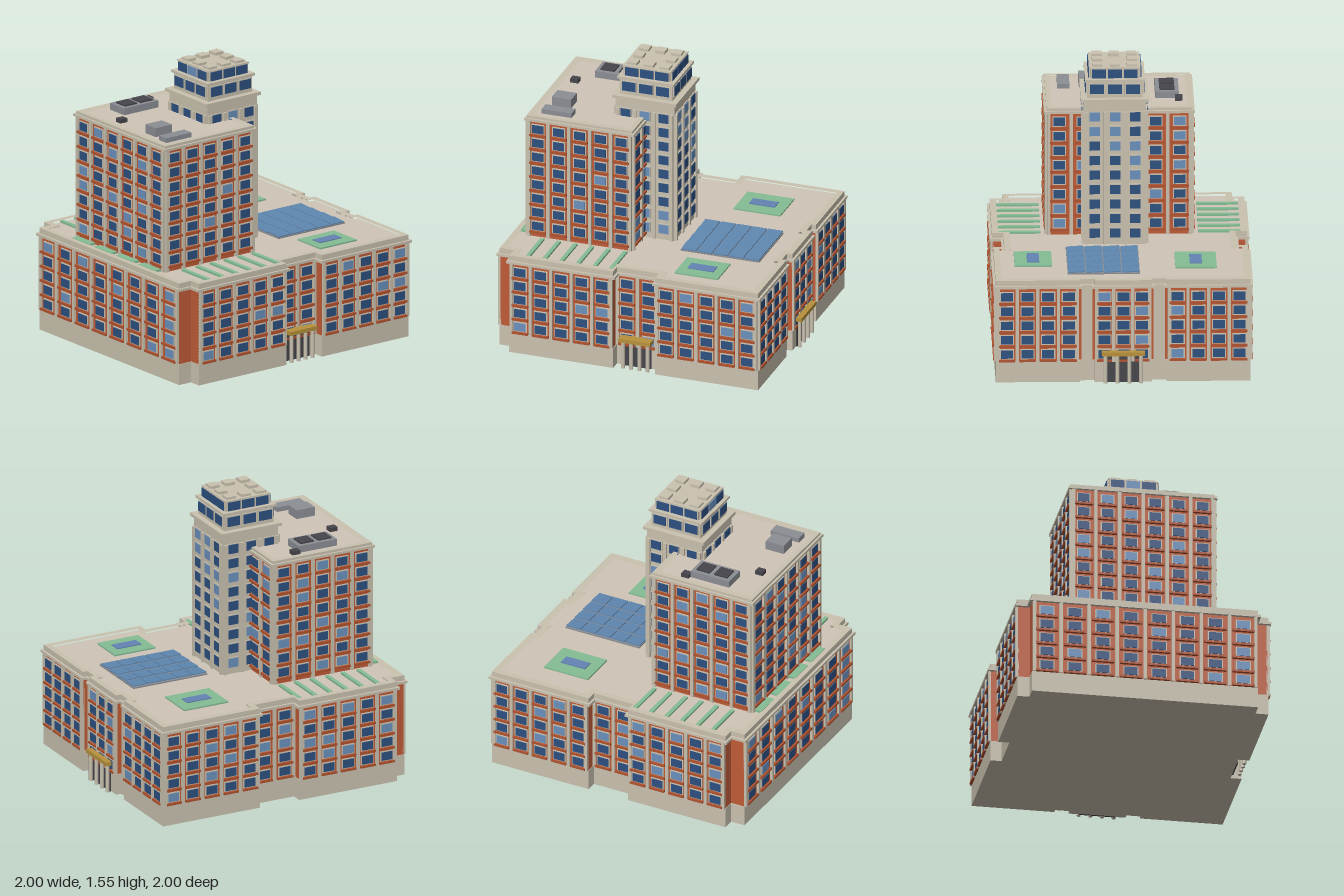
import * as THREE from 'three';
import { mergeGeometries } from 'three/addons/utils/BufferGeometryUtils.js';

const COLORS = {
  stone: 0xcac2b0, roof: 0xcfc5b6, brick: 0xbf5b37, sill: 0xb0532f, glass: 0x2c5080, paleGlass: 0x6a90bc,
  gold: 0xb8923c, green: 0x84bd95, solar: 0x5f87b0, skylight: 0x6484b4, grey: 0x8b8e94, dark: 0x46454b,
};

export function createModel() {
  const model = new THREE.Group();
  const plan = new THREE.Group(); // the plan is square to its own axes, turned 45 degrees
  plan.name = 'building';
  plan.rotation.y = Math.PI / 4;
  model.add(plan);

  // Boxes and prisms are gathered by part name, then merged into one mesh each
  const parts = {};
  const put = (name, color, geo) => {
    (parts[name] ??= { color, geos: [] }).geos.push(geo.index ? geo.toNonIndexed() : geo);
  };
  const block = (name, color, w, h, d, x, y, z, matrix) => {
    const g = new THREE.BoxGeometry(w, h, d).translate(x, y, z);
    if (matrix) g.applyMatrix4(matrix);
    put(name, color, g);
  };

  // Plan outlines are [x, z] corners; offset moves every wall outward
  const offset = (pts, d) => pts.map((p, i) => {
    const a = pts[(i + pts.length - 1) % pts.length], b = pts[(i + 1) % pts.length];
    const n = (s, e) => [Math.sign(e[1] - s[1]), -Math.sign(e[0] - s[0])];
    const n1 = n(a, p), n2 = n(p, b);
    return [p[0] + d * (n1[0] + n2[0]), p[1] + d * (n1[1] + n2[1])];
  });
  const prism = (name, color, pts, y0, y1, hole) => {
    const v = (list) => list.map(([x, z]) => new THREE.Vector2(x, -z));
    const shape = new THREE.Shape(v(pts));
    if (hole) shape.holes.push(new THREE.Path(v(hole)));
    const g = new THREE.ExtrudeGeometry(shape, { depth: y1 - y0, bevelEnabled: false });
    put(name, color, g.rotateX(-Math.PI / 2).translate(0, y0, 0));
  };
  const rect = (x0, x1, z0, z1) => [[x1, z0], [x1, z1], [x0, z1], [x0, z0]];
  // Ledge, parapet ring and sunken roof deck
  const crown = (name, pts, y0, y1, out, rim) => {
    prism(name + 'Cornice', COLORS.stone, offset(pts, out), y0, y0 + 0.014);
    prism(name + 'Parapet', COLORS.stone, offset(pts, 0.004), y0 + 0.014, y1, offset(pts, -rim));
    prism(name + 'Roof', COLORS.roof, offset(pts, -rim + 0.002), y0, y1 - 0.01);
  };

  // A wall of windows facing angle ry, with sills and piers
  let seed = 7;
  const rand = () => (seed = (seed * 16807) % 2147483647) / 2147483647;
  const facade = (name, x, z, ry, width, cols, rows, o) => {
    const m = new THREE.Matrix4().makeRotationY(ry).setPosition(x, 0, z);
    const step = width / cols;
    for (let c = 0; c < cols; c++) {
      const wx = (c + 0.5) * step - width / 2;
      if (o.skip && o.skip(wx)) continue;
      for (const y of rows) {
        const pale = rand() < 0.2;
        block(name + 'WindowFrames', COLORS.stone, o.w + 0.012, o.h + 0.01, 0.008, wx, y, 0.002, m);
        block(name + (pale ? 'PaleWindows' : 'Windows'), pale ? COLORS.paleGlass : COLORS.glass,
          o.w, o.h, 0.012, wx, y, 0.004, m);
        if (o.sills) block(name + 'Sills', COLORS.sill, step * 0.78, 0.012, 0.026, wx, y - o.h / 2 - 0.012, 0.004, m);
      }
    }
    if (!o.piers) return;
    for (let c = 0; c <= cols; c++) {
      const px = Math.max(-width / 2 + 0.009, Math.min(width / 2 - 0.009, c * step - width / 2));
      block(name + 'Piers', COLORS.stone, 0.018, o.piers[1] - o.piers[0], 0.018, px, (o.piers[0] + o.piers[1]) / 2, 0.004, m);
    }
  };
  const ROWS = (y, n, s) => Array.from({ length: n }, (_, i) => y + i * s);
  const [SOUTH, EAST, NORTH, WEST] = [0, Math.PI / 2, Math.PI, -Math.PI / 2];

  // Podium
  const podium = [
    [0.705, -0.675], [0.705, -0.235], [0.68, -0.235], [0.68, -0.15], [0.71, -0.15], [0.71, 0.15], [0.68, 0.15],
    [0.68, 0.235], [0.705, 0.235], [0.705, 0.675], [0.13, 0.675], [0.13, 0.615], [-0.115, 0.615], [-0.115, 0.675],
    [-0.695, 0.675], [-0.695, 0.605], [-0.775, 0.605], [-0.775, -0.61], [-0.695, -0.61], [-0.695, -0.675],
    [-0.115, -0.675], [-0.115, -0.615], [0.13, -0.615], [0.13, -0.675],
  ];
  prism('podiumBase', COLORS.stone, offset(podium, 0.004), 0, 0.115);
  prism('podiumWalls', COLORS.brick, podium, 0.115, 0.53);
  crown('podium', podium, 0.525, 0.568, 0.017, 0.03);
  const podiumRows = ROWS(0.157, 5, 0.08);
  const brickStyle = { w: 0.064, h: 0.046, sills: true, piers: [0.115, 0.525] };
  for (const [s, ry] of [[1, SOUTH], [-1, NORTH]]) {
    facade('podium', -0.405, s * 0.675, ry, 0.58, 5, podiumRows, brickStyle);
    facade('podium', 0.4175, s * 0.675, ry, 0.575, 5, podiumRows, brickStyle);
    facade('podium', 0.0075, s * 0.615, ry, 0.245, 2, podiumRows, brickStyle);
    facade('podium', 0.705, s * 0.455, EAST, 0.44, 4, podiumRows, brickStyle);
    block('podiumSlotPiers', COLORS.stone, 0.012, 0.42, 0.06, 0.68, 0.32, s * 0.192);
  }
  facade('podium', 0.71, 0, EAST, 0.3, 3, podiumRows, brickStyle);
  facade('podium', -0.775, -0.0025, WEST, 1.215, 8, podiumRows, { ...brickStyle, w: 0.07 });

  // Entrances: gold canopy on four columns, dark doorway behind
  const entrance = (x, z, ry, width, depth) => {
    const m = new THREE.Matrix4().makeRotationY(ry).setPosition(x, 0, z);
    block('entranceCanopy', COLORS.gold, width, 0.022, depth, 0, 0.166, depth / 2, m);
    block('entranceDoors', COLORS.dark, width * 0.85, 0.15, 0.012, 0, 0.075, 0.002, m);
    for (let i = 0; i < 4; i++) {
      const cx = (i / 3 - 0.5) * (width - 0.04);
      put('entranceColumns', COLORS.stone,
        new THREE.CylinderGeometry(0.011, 0.011, 0.155, 10).translate(cx, 0.0775, depth - 0.018).applyMatrix4(m));
    }
  };
  entrance(0.0075, 0.618, SOUTH, 0.18, 0.06);
  entrance(0.713, 0, EAST, 0.23, 0.04);

  // Brick tower
  const tower = rect(-0.7, -0.11, -0.385, 0.385);
  prism('towerWalls', COLORS.brick, tower, 0.55, 1.24);
  crown('tower', tower, 1.237, 1.265, 0.016, 0.025);
  const towerRows = ROWS(0.622, 8, 0.0813);
  const towerStyle = { w: 0.062, h: 0.046, sills: true, piers: [0.56, 1.237] };
  facade('tower', -0.7, 0, WEST, 0.77, 6, towerRows, towerStyle);
  facade('tower', -0.405, 0.385, SOUTH, 0.59, 5, towerRows, towerStyle);
  facade('tower', -0.405, -0.385, NORTH, 0.59, 5, towerRows, towerStyle);
  facade('tower', -0.11, 0, EAST, 0.77, 6, towerRows, { ...towerStyle, skip: (x) => Math.abs(x) < 0.12 });

  // Stone shaft with two stepped storeys
  const [SX, SZ] = [-0.105, 0.028];
  const square = (r) => rect(SX - r, SX + r, SZ - r, SZ + r);
  const ring = (r, cols, rows, o) => [SOUTH, EAST, NORTH, WEST].forEach((ry) =>
    facade('shaft', SX + r * Math.sin(ry), SZ + r * Math.cos(ry), ry, 2 * r - 0.01, cols, rows, o));
  prism('shaftWalls', COLORS.stone, square(0.166), 0.55, 1.36);
  prism('shaftCornice', COLORS.stone, square(0.182), 1.355, 1.372);
  ring(0.166, 3, ROWS(0.622, 9, 0.0813), { w: 0.056, h: 0.05, piers: [0.56, 1.3] });
  prism('upperStoreyWalls', COLORS.stone, square(0.148), 1.37, 1.465);
  prism('upperStoreyCornice', COLORS.stone, square(0.16), 1.463, 1.476);
  ring(0.148, 3, [1.422], { w: 0.074, h: 0.052 });
  prism('topStoreyWalls', COLORS.stone, square(0.128), 1.476, 1.533);
  ring(0.132, 3, [1.503], { w: 0.074, h: 0.048 });
  prism('topStoreyCoping', COLORS.stone, square(0.136), 1.528, 1.536, square(0.112));
  for (let i = -1; i <= 1; i++) {
    for (let j = -1; j <= 1; j++) {
      if (i || j) block('roofBlocks', COLORS.stone, 0.055, 0.022, 0.055, SX + i * 0.092, 1.538, SZ + j * 0.092);
    }
  }

  // Tower roof equipment
  block('coolingUnit', COLORS.grey, 0.23, 0.04, 0.125, -0.414, 1.273, -0.258);
  for (const dx of [-0.053, 0.053]) block('coolingFans', COLORS.dark, 0.08, 0.01, 0.08, -0.414 + dx, 1.296, -0.258);
  block('roofVents', COLORS.dark, 0.045, 0.025, 0.04, -0.275, 1.265, -0.32);
  block('roofVents', COLORS.dark, 0.045, 0.025, 0.04, -0.61, 1.265, -0.113);
  block('plantRoom', COLORS.grey, 0.11, 0.052, 0.09, -0.573, 1.279, 0.163);
  block('ductBox', COLORS.grey, 0.17, 0.028, 0.065, -0.56, 1.267, 0.29);

  // Podium roof gardens, each with a skylight
  for (const [x, z, w, d] of [[0.356, -0.394, 0.265, 0.22], [0.32, 0.472, 0.245, 0.2]]) {
    block('roofGardens', COLORS.green, w, 0.012, d, x, 0.56, z);
    block('gardenSkylights', COLORS.skylight, 0.145, 0.01, 0.065, x, 0.566, z);
  }
  // Planting strips
  for (let i = 0; i < 6; i++) {
    for (const s of [1, -1]) block('plantingStrips', COLORS.green, 0.022, 0.014, 0.225, -0.135 - i * 0.094, 0.562, s * 0.532);
  }
  for (let i = 0; i < 4; i++) block('edgePlanters', COLORS.green, 0.045, 0.014, 0.145, -0.728, 0.563, -0.295 + i * 0.193);

  // Solar array of tilted panels
  block('solarFrame', COLORS.grey, 0.445, 0.01, 0.385, 0.354, 0.56, 0.1);
  for (let i = 0; i < 5; i++) {
    for (let j = 0; j < 4; j++) {
      const m = new THREE.Matrix4().makeRotationX(0.06).setPosition(0.354 + (i - 2) * 0.089, 0.57, 0.1 + (j - 1.5) * 0.096);
      block('solarPanels', COLORS.solar, 0.083, 0.006, 0.09, 0, 0, 0, m);
    }
  }

  for (const [name, { color, geos }] of Object.entries(parts)) {
    const mesh = new THREE.Mesh(mergeGeometries(geos), new THREE.MeshStandardMaterial({ color }));
    mesh.name = name;
    plan.add(mesh);
  }
  return model;
}
